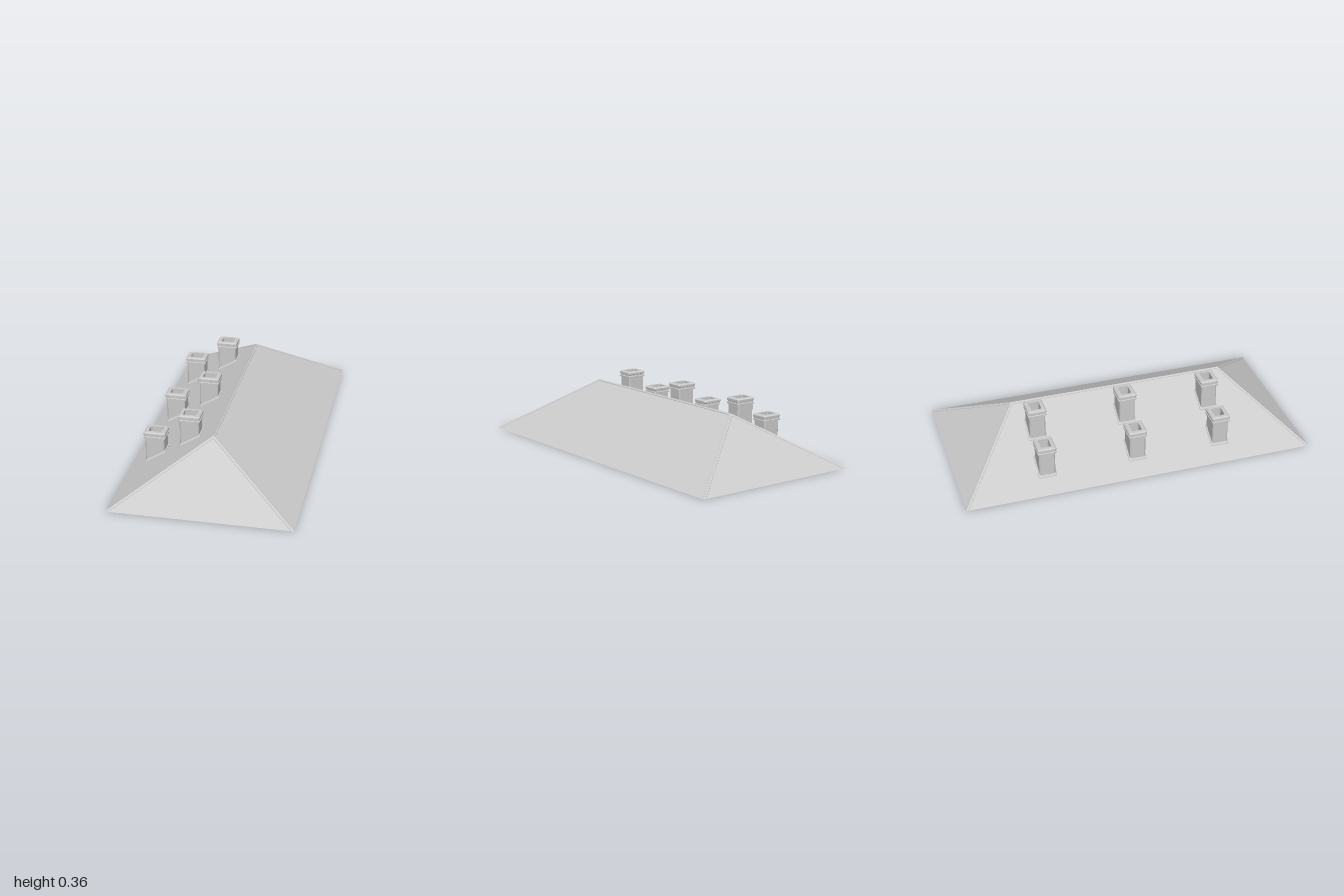
import * as THREE from 'three';

const material = new THREE.MeshStandardMaterial({ color: 0xcccccc, flatShading: true, side: THREE.DoubleSide });
const W = 0.5, L = 1, H = 0.303, RIDGE = 0.62; // half width, half length, ridge height, half ridge length
const roofY = (x) => H * (1 - Math.abs(x) / W);

// Flat-shaded mesh from a list of convex polygons
function polygons(name, faces) {
  const pos = [];
  for (const f of faces)
    for (let i = 1; i < f.length - 1; i++) pos.push(...f[0], ...f[i], ...f[i + 1]);
  const g = new THREE.BufferGeometry();
  g.setAttribute('position', new THREE.Float32BufferAttribute(pos, 3));
  g.computeVertexNormals();
  const mesh = new THREE.Mesh(g, material);
  mesh.name = name;
  return mesh;
}

// Quads joining successive cross-sections
function bridge(sections, closed) {
  const faces = [];
  for (let s = 0; s < sections.length - 1; s++) {
    const a = sections[s], b = sections[s + 1], n = a.length;
    for (let i = 0; i < (closed ? n : n - 1); i++) {
      const j = (i + 1) % n;
      faces.push([a[i], a[j], b[j], b[i]]);
    }
  }
  return faces;
}

const lift = ([x, y, z], d) => [x, y + d, z];

// Thin folded capping: lower edge, raised edge, crest, raised edge, lower edge
const capSection = (l, crest, r) => [l, lift(l, 0.003), lift(crest, 0.004), lift(r, 0.003), r];

// Rectangle with small corner chamfers; y may follow the roof slope
function ring(cx, cz, hx, hz, y) {
  const c = 0.006;
  return [[hx, hz - c], [hx - c, hz], [c - hx, hz], [-hx, hz - c],
    [-hx, c - hz], [c - hx, -hz], [hx - c, -hz], [hx, c - hz]]
    .map(([x, z]) => [cx + x, y(cx + x), cz + z]);
}

function chimney(cx, cz, top) {
  const slope = (d) => (x) => roofY(x) + d;
  const level = (d) => () => top + d;
  const profile = [
    // flared flashing on the slope
    [0.06, slope(0)], [0.06, slope(0.003)], [0.053, slope(0.011)],
    // shaft and lower band
    [0.053, level(-0.038)], [0.06, level(-0.036)], [0.06, level(-0.028)], [0.056, level(-0.026)],
    // upper band and bevelled rim
    [0.056, level(-0.019)], [0.06, level(-0.017)], [0.06, level(-0.006)], [0.053, level(0)],
    // flue
    [0.037, level(0)], [0.037, slope(0.001)],
  ];
  return polygons('chimney', bridge(profile.map(([h, y]) => ring(cx, cz, h, h - 0.008, y)), true));
}

export function createModel() {
  const model = new THREE.Group();
  model.name = 'hippedRoof';

  // Hollow roof shell, open underneath
  const f = [0, H, RIDGE], b = [0, H, -RIDGE];
  const fl = [W, 0, L], fr = [-W, 0, L], bl = [W, 0, -L], br = [-W, 0, -L];
  model.add(polygons('roofSlopes', [[fl, bl, b, f], [br, fr, f, b], [fr, fl, f], [bl, br, b]]));

  // Ridge capping
  const e = 0.008;
  const ridge = [RIDGE, -RIDGE].map((z) => capSection([-e, roofY(e), z], [0, H, z], [e, roofY(e), z]));
  model.add(polygons('ridgeCap', bridge(ridge, false)));

  // Hip cappings at the four corners
  const wx = 0.016, wz = 0.0125, end = wx * (L - RIDGE) / W;
  for (const sx of [1, -1]) for (const sz of [1, -1]) {
    const low = capSection([sx * W, 0, sz * (L - wz)], [sx * W, 0, sz * L], [sx * (W - wx), 0, sz * L]);
    const high = capSection([0, H, sz * (RIDGE - wz)], [0, H, sz * RIDGE],
      [0, H * (1 - wx / W), sz * (RIDGE + end)]);
    // keep faces pointing outwards on mirrored corners
    const sections = sx * sz > 0 ? [high, low] : [low, high];
    model.add(polygons('hipCap', bridge(sections, false)));
  }

  // Two rows of chimneys on the right-hand slope
  for (const z of [0.49, 0, -0.52]) {
    model.add(chimney(-0.35, z, 0.243));
    model.add(chimney(-0.155, z, 0.363));
  }
  return model;
}
